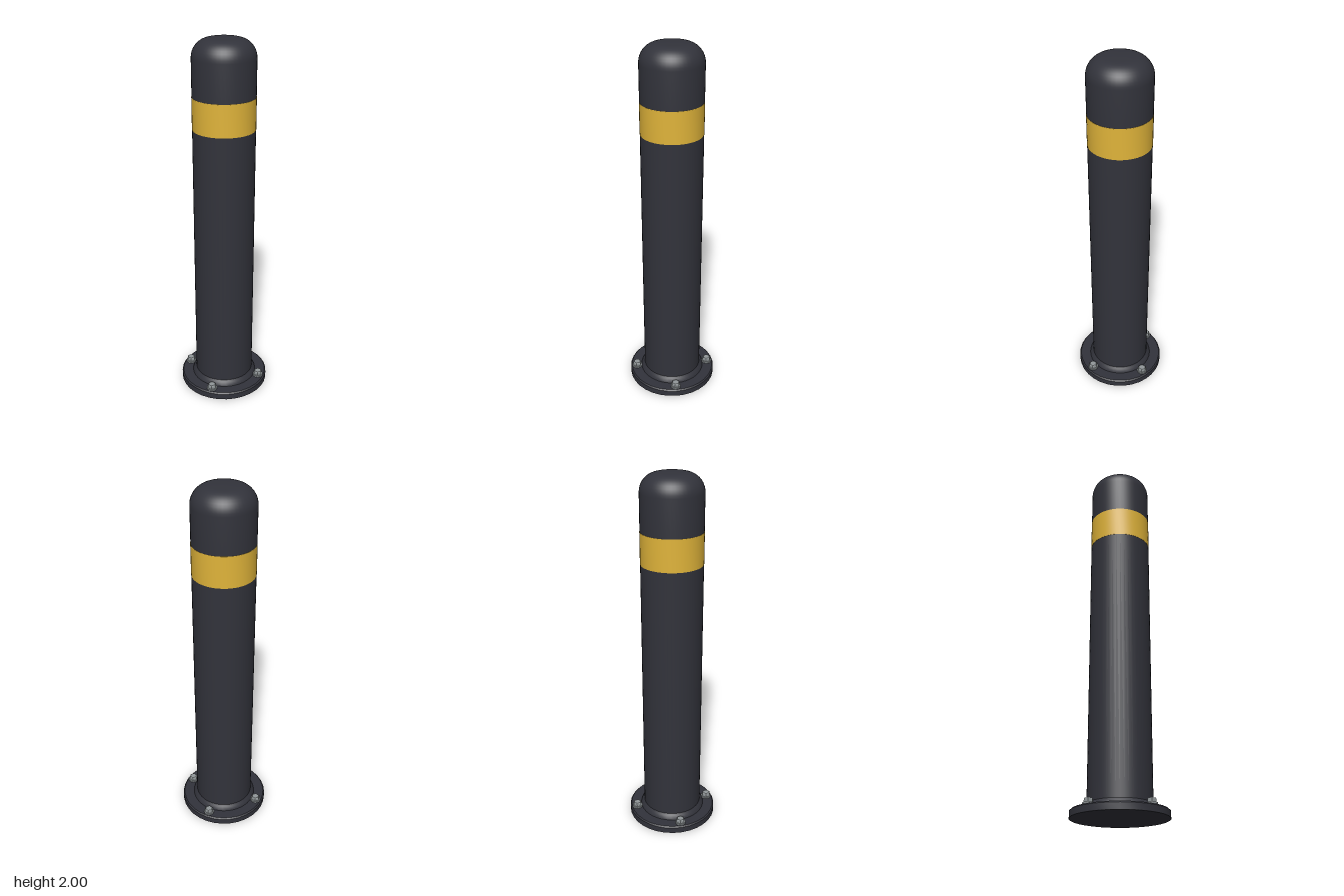
import * as THREE from 'three';
import { toCreasedNormals } from 'three/addons/utils/BufferGeometryUtils.js';

const R = 0.165; // post radius

function material(name, color) {
  const m = new THREE.MeshStandardMaterial({ color });
  m.name = name;
  return m;
}

// Turned part from [radius, height] pairs, listed from bottom to top
function turned(name, points, mat, segments, crease = 0.6) {
  const profile = points.map(([r, y]) => new THREE.Vector2(r, y));
  const geometry = toCreasedNormals(new THREE.LatheGeometry(profile, segments), crease);
  const mesh = new THREE.Mesh(geometry, mat);
  mesh.name = name;
  return mesh;
}

export function createModel() {
  const dark = material('charcoal paint', 0x32333b);
  const yellow = material('yellow band', 0xe0b43a);
  const steel = material('bolt steel', 0x92989a);

  const model = new THREE.Group();
  model.name = 'bollard';

  // Floor flange with a small chamfer
  model.add(turned('basePlate', [[0, 0], [0.25, 0], [0.25, 0.034], [0.243, 0.041], [0, 0.041]], dark, 32));

  // Flared collar where the post meets the flange
  model.add(turned('collar', [[0.185, 0.041], [0.183, 0.049], [0.172, 0.062], [R, 0.072]], dark, 48));

  // Post, warning band and rounded cap
  model.add(turned('post', [[R, 0.04], [R, 1.535]], dark, 48));
  model.add(turned('warningBand', [[R, 1.535], [R + 0.001, 1.535], [R + 0.001, 1.705], [R, 1.705]], yellow, 48));
  const cap = [[R, 1.705]];
  for (let i = 0; i <= 10; i++) {
    const a = (i / 10) * Math.PI / 2;
    cap.push([0.07 + 0.095 * Math.cos(a), 1.9 + 0.097 * Math.sin(a)]);
  }
  cap.push([0.035, 1.999], [0, 2]);
  model.add(turned('cap', cap, dark, 48));

  // Four anchor bolts, each a washer and a chamfered hex head
  for (const x of [-0.15, 0.15]) {
    for (const z of [-0.15, 0.15]) {
      const bolt = new THREE.Group();
      bolt.name = 'anchorBolt';
      bolt.add(turned('washer', [[0.029, 0], [0.029, 0.009], [0, 0.009]], steel, 24));
      const head = turned('hexHead', [[0.024, 0.009], [0.024, 0.026], [0.02, 0.031], [0, 0.031]], steel, 6, 0.2);
      head.rotation.y = Math.PI / 6;
      bolt.add(head);
      bolt.position.set(x, 0.041, z);
      model.add(bolt);
    }
  }
  return model;
}
